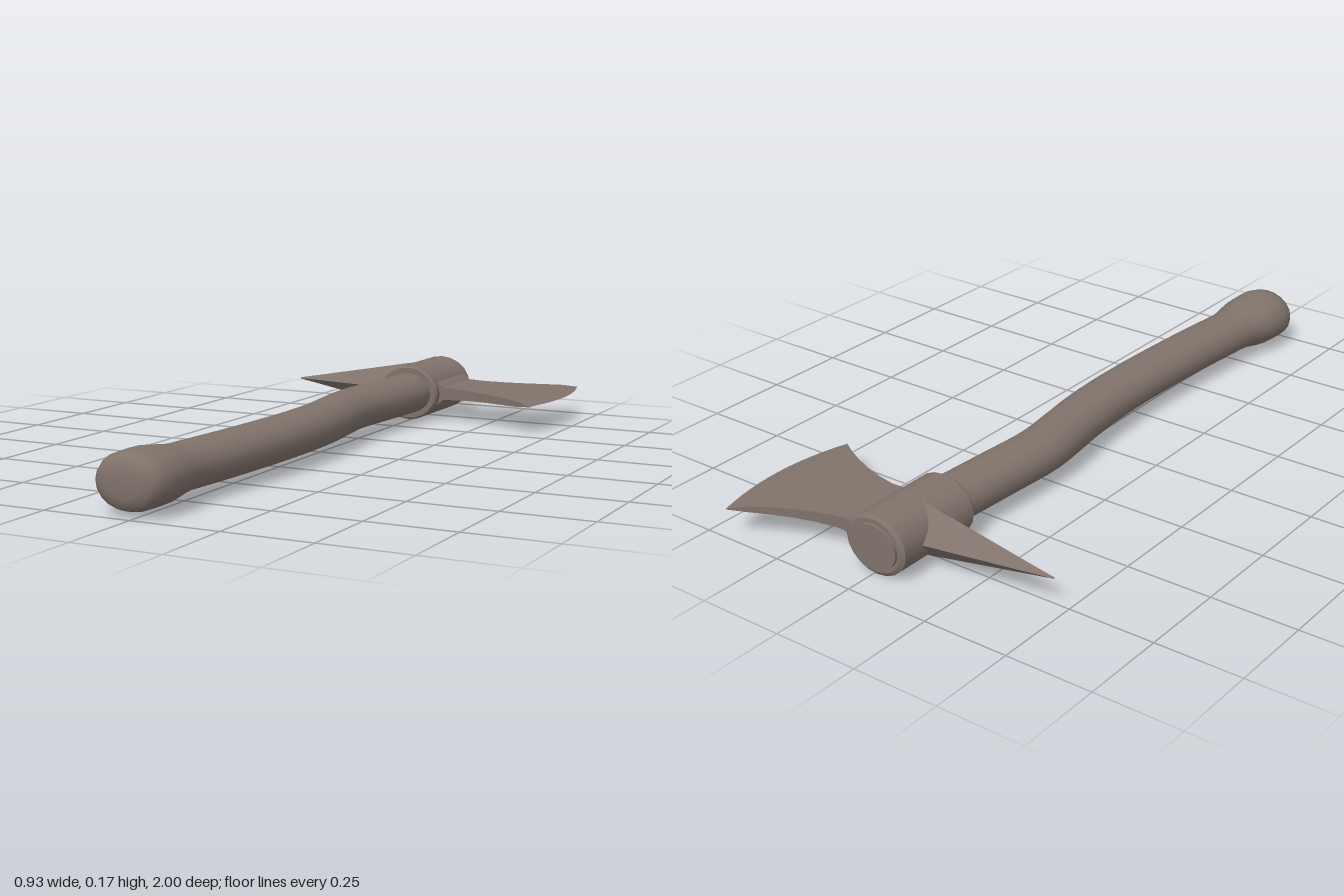
import * as THREE from 'three';
import { toCreasedNormals } from 'three/addons/utils/BufferGeometryUtils.js';

const MID = 0.09; // height of the axe's middle plane
const HEAD_Z = -0.768; // centre of the head along the handle

// Skin a list of equal-length rings and close both ends.
// Each ring runs counter-clockwise about the direction of travel.
function loft(rings, crease = 0.7) {
  const pos = [];
  const tri = (a, b, c) => pos.push(...a, ...b, ...c);
  const n = rings[0].length;
  const centre = (r) => [0, 1, 2].map((k) => r.reduce((s, p) => s + p[k], 0) / n);
  const first = rings[0], last = rings[rings.length - 1];
  const c0 = centre(first), c1 = centre(last);
  for (let j = 0; j < n; j++) {
    const k = (j + 1) % n;
    for (let i = 0; i < rings.length - 1; i++) {
      const a = rings[i], b = rings[i + 1];
      tri(a[j], a[k], b[k]);
      tri(a[j], b[k], b[j]);
    }
    tri(c0, first[k], first[j]);
    tri(c1, last[j], last[k]);
  }
  const geo = new THREE.BufferGeometry();
  geo.setAttribute('position', new THREE.Float32BufferAttribute(pos, 3));
  return toCreasedNormals(geo, crease);
}

// Ellipse in the xy plane, for travel along +z
function ellipse(z, cx, rx, ry, sides = 20) {
  return Array.from({ length: sides }, (_, i) => {
    const a = (i / sides) * Math.PI * 2;
    return [cx + rx * Math.cos(a), MID + ry * Math.sin(a), z];
  });
}

export function createModel() {
  const group = new THREE.Group();
  const brown = new THREE.MeshStandardMaterial({ color: 0x80736b });
  brown.name = 'greyBrown';
  const add = (name, geo) => {
    const mesh = new THREE.Mesh(geo, brown);
    mesh.name = name;
    group.add(mesh);
  };

  // Curved handle: z, centre x, half width, half height
  const shaft = new THREE.CatmullRomCurve3([
    [-0.62, -0.008], [-0.45, -0.018], [-0.25, -0.028], [-0.12, -0.013], [0, 0.003],
    [0.2, 0.014], [0.5, 0.005], [0.76, -0.014],
  ].map(([z, x]) => new THREE.Vector3(x, 0, z)));
  const rings = [ellipse(-0.918, -0.01, 0.078, 0.063), ellipse(-0.63, -0.01, 0.078, 0.063)];
  for (const p of shaft.getPoints(24)) rings.push(ellipse(p.z, p.x, 0.079, 0.063));
  // Swollen knob at the grip end
  for (const [z, x, rx, ry] of [
    [0.79, -0.015, 0.083, 0.065], [0.83, -0.019, 0.094, 0.071], [0.87, -0.021, 0.101, 0.076],
    [0.92, -0.022, 0.103, 0.077], [0.955, -0.022, 0.101, 0.076], [0.98, -0.02, 0.09, 0.07],
    [0.992, -0.018, 0.074, 0.06], [0.998, -0.016, 0.045, 0.038],
  ]) rings.push(ellipse(z, x, rx, ry));
  add('handle', loft(rings));

  // Sleeve gripping the handle, with a small bevel at each end
  add('headSleeve', loft([
    ellipse(-0.91, -0.01, 0.088, 0.076),
    ellipse(-0.903, -0.01, 0.099, 0.086),
    ellipse(-0.637, -0.01, 0.099, 0.086),
    ellipse(-0.63, -0.01, 0.094, 0.081),
  ], 0.5));

  // Four-sided spike, flaring where it meets the sleeve
  const diamond = (x, h, w) => [
    [x, MID + h, HEAD_Z], [x, MID, HEAD_Z + w], [x, MID - h, HEAD_Z], [x, MID, HEAD_Z - w],
  ];
  add('spike', loft([
    diamond(-0.468, 0.002, 0.003), diamond(-0.11, 0.068, 0.07),
    diamond(-0.085, 0.073, 0.085), diamond(-0.04, 0.08, 0.09),
  ], 0.3));

  // Flared blade: x, half width along z, half thickness, bow of the edge
  const blade = [
    [0.05, 0.12, 0.05, 0], [0.08, 0.112, 0.036, 0], [0.1, 0.106, 0.02, 0],
    [0.15, 0.107, 0.0175, 0.001], [0.21, 0.122, 0.015, 0.004], [0.27, 0.142, 0.013, 0.009],
    [0.33, 0.169, 0.011, 0.016], [0.385, 0.2, 0.008, 0.024], [0.428, 0.23, 0.001, 0.036],
  ];
  const STEPS = 12;
  add('blade', loft(blade.map(([x, w, h, bow]) => {
    const row = (side) => Array.from({ length: STEPS + 1 }, (_, i) => {
      const v = side * ((i / STEPS) * 2 - 1);
      return [x + bow * (1 - v * v), MID + side * h, HEAD_Z + v * w];
    });
    return [...row(1), ...row(-1)];
  }), 0.5));

  return group;
}
